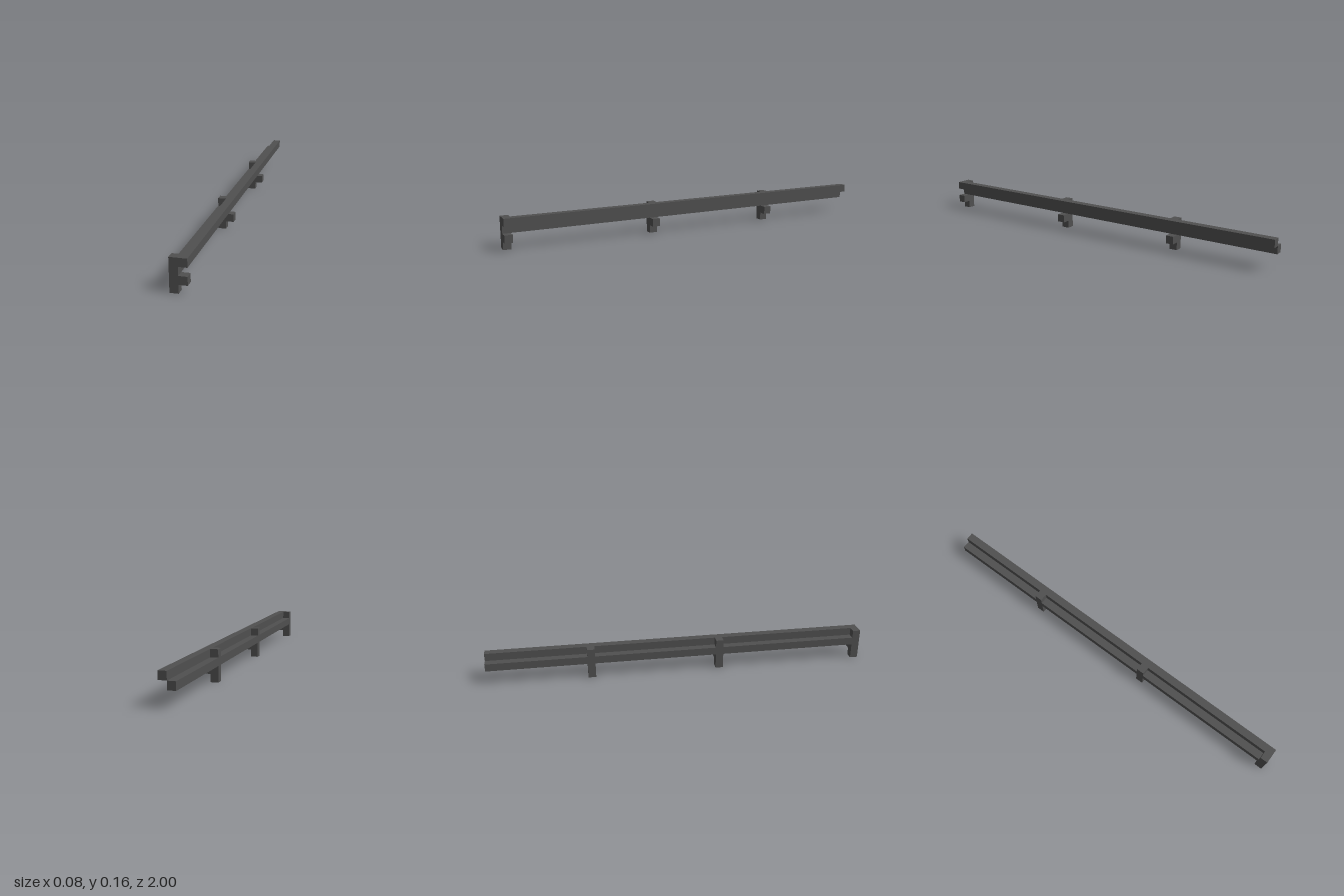
import * as THREE from 'three';

const U = 0.04; // square bar thickness; all sections are multiples of it

export function createModel() {
  const group = new THREE.Group();
  group.name = 'railOnBrackets';
  const darkGrey = new THREE.MeshStandardMaterial({ color: 0x505050 });
  darkGrey.name = 'darkGrey';

  // Extrude an outline, given in bar units, from z0 along +z
  const bar = (name, points, z0, length, parent) => {
    const shape = new THREE.Shape(points.map(([x, y]) => new THREE.Vector2(x * U, y * U)));
    const geometry = new THREE.ExtrudeGeometry(shape, { depth: length, bevelEnabled: false });
    const mesh = new THREE.Mesh(geometry, darkGrey);
    mesh.name = name;
    mesh.position.z = z0;
    parent.add(mesh);
  };
  const square = (x, y) => [[x, y], [x + 1, y], [x + 1, y + 1], [x, y + 1]];

  // Two full-length rails, touching along one edge
  bar('upperRail', square(0, 3), -1, 2, group);
  bar('lowerRail', square(-1, 2), -1, 2, group);

  // Brackets: a leg with a side arm below the lower rail and a cap above it
  const leg = [[-1, 0], [0, 0], [0, 1], [1, 1], [1, 2], [-1, 2]];
  [0.96, 0.2, -0.48].forEach((z) => {
    const bracket = new THREE.Group();
    bracket.name = 'bracket';
    bracket.position.z = z;
    bar('bracketLeg', leg, 0, U, bracket);
    bar('bracketCap', square(-1, 3), 0, U, bracket);
    group.add(bracket);
  });

  return group;
}
